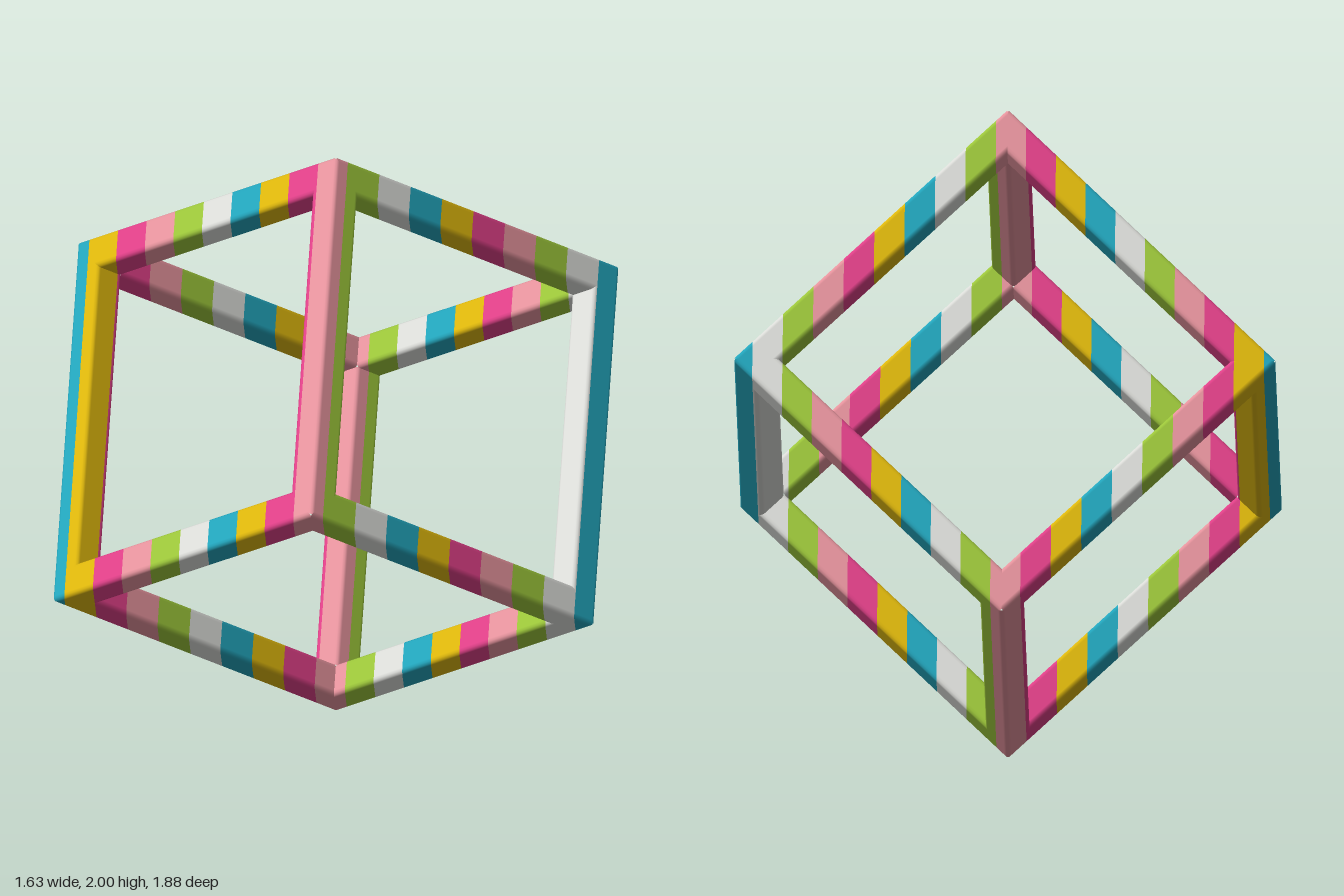
import * as THREE from 'three';

const HALF = 0.5818;     // half the cube's edge
const WIDTH = 0.102;     // bar thickness
const ROUND = 0.015;     // softened bar edges
const STRIPE = 0.0908;   // stripe width along x
const STRIPE_START = 0.035;

const paint = (name, color) => {
  const m = new THREE.MeshStandardMaterial({ color });
  m.name = name;
  return m;
};

// Rounded square section: depth from the two outer faces, plus outward normal
function barSection() {
  const pts = [];
  const lo = ROUND, hi = WIDTH - ROUND;
  [[lo, lo], [hi, lo], [hi, hi], [lo, hi]].forEach(([cu, cv], corner) => {
    for (let i = 0; i <= 3; i++) {
      const a = Math.PI + (corner + i / 3) * Math.PI / 2;
      const nu = Math.cos(a), nv = Math.sin(a);
      pts.push({ u: cu + ROUND * nu, v: cv + ROUND * nv, nu, nv });
    }
  });
  return pts;
}

// Keep the part of a polygon on one side of the plane x = limit
function clipX(poly, limit, sign) {
  const out = [];
  poly.forEach((a, i) => {
    const b = poly[(i + 1) % poly.length];
    const da = sign * (a.p.x - limit), db = sign * (b.p.x - limit);
    if (da >= 0) out.push(a);
    if ((da > 0 && db < 0) || (da < 0 && db > 0)) {
      const t = da / (da - db);
      out.push({ p: a.p.clone().lerp(b.p, t), n: a.n.clone().lerp(b.n, t).normalize() });
    }
  });
  return out;
}

// One mitred bar along a cube axis, cut into stripes with one group per colour
function barGeometry(axes, axis, su, sv, colourCount) {
  const [T, U, V] = [0, 1, 2].map(i => axes[(axis + i) % 3]);
  const section = barSection();
  const vertex = (s, end) => ({
    p: new THREE.Vector3(0, 1, 0)
      .addScaledVector(T, end * (HALF - Math.max(s.u, s.v)))
      .addScaledVector(U, su * (HALF - s.u))
      .addScaledVector(V, sv * (HALF - s.v)),
    n: new THREE.Vector3().addScaledVector(U, -su * s.nu).addScaledVector(V, -sv * s.nv),
  });
  const buckets = Array.from({ length: colourCount }, () => ({ pos: [], nor: [] }));
  section.forEach((s, i) => {
    const next = section[(i + 1) % section.length];
    let quad = [vertex(s, -1), vertex(next, -1), vertex(next, 1), vertex(s, 1)];
    const facing = quad[1].p.clone().sub(quad[0].p).cross(quad[2].p.clone().sub(quad[0].p));
    if (facing.dot(quad[0].n.clone().add(quad[1].n)) < 0) quad.reverse();
    for (let k = -11; k <= 10; k++) {
      const x = STRIPE_START + k * STRIPE;
      const piece = clipX(clipX(quad, x, 1), x + STRIPE, -1);
      const bucket = buckets[(k + 6 * colourCount) % colourCount];
      for (let j = 1; j + 1 < piece.length; j++) {
        for (const c of [piece[0], piece[j], piece[j + 1]]) {
          bucket.pos.push(c.p.x, c.p.y, c.p.z);
          bucket.nor.push(c.n.x, c.n.y, c.n.z);
        }
      }
    }
  });
  const geo = new THREE.BufferGeometry();
  let start = 0;
  buckets.forEach((b, i) => {
    const count = b.pos.length / 3;
    if (count) geo.addGroup(start, count, i);
    start += count;
  });
  geo.setAttribute('position', new THREE.Float32BufferAttribute(buckets.flatMap(b => b.pos), 3));
  geo.setAttribute('normal', new THREE.Float32BufferAttribute(buckets.flatMap(b => b.nor), 3));
  return geo;
}

export function createModel() {
  const model = new THREE.Group();
  model.name = 'stripedCubeFrame';

  // Stripe colours in order from left to right across x
  const materials = [
    paint('green', 0x9cc63a),
    paint('white', 0xdcddd9),
    paint('teal', 0x22a5bc),
    paint('yellow', 0xdeb70c),
    paint('magenta', 0xe04088),
    paint('pink', 0xe6939d),
  ];

  // Cube axes with the cube balanced on one corner
  const h = Math.SQRT1_2, y = 1 / Math.sqrt(3), z = 1 / Math.sqrt(6);
  const axes = [
    new THREE.Vector3(h, y, z),
    new THREE.Vector3(-h, y, z),
    new THREE.Vector3(0, y, -2 * z),
  ];

  // Four parallel bars along each axis
  ['leftRising', 'rightRising', 'backRising'].forEach((name, axis) => {
    let number = 1;
    for (const su of [-1, 1]) for (const sv of [-1, 1]) {
      const bar = new THREE.Mesh(barGeometry(axes, axis, su, sv, materials.length), materials);
      bar.name = `${name}Bar${number++}`;
      model.add(bar);
    }
  });
  return model;
}
